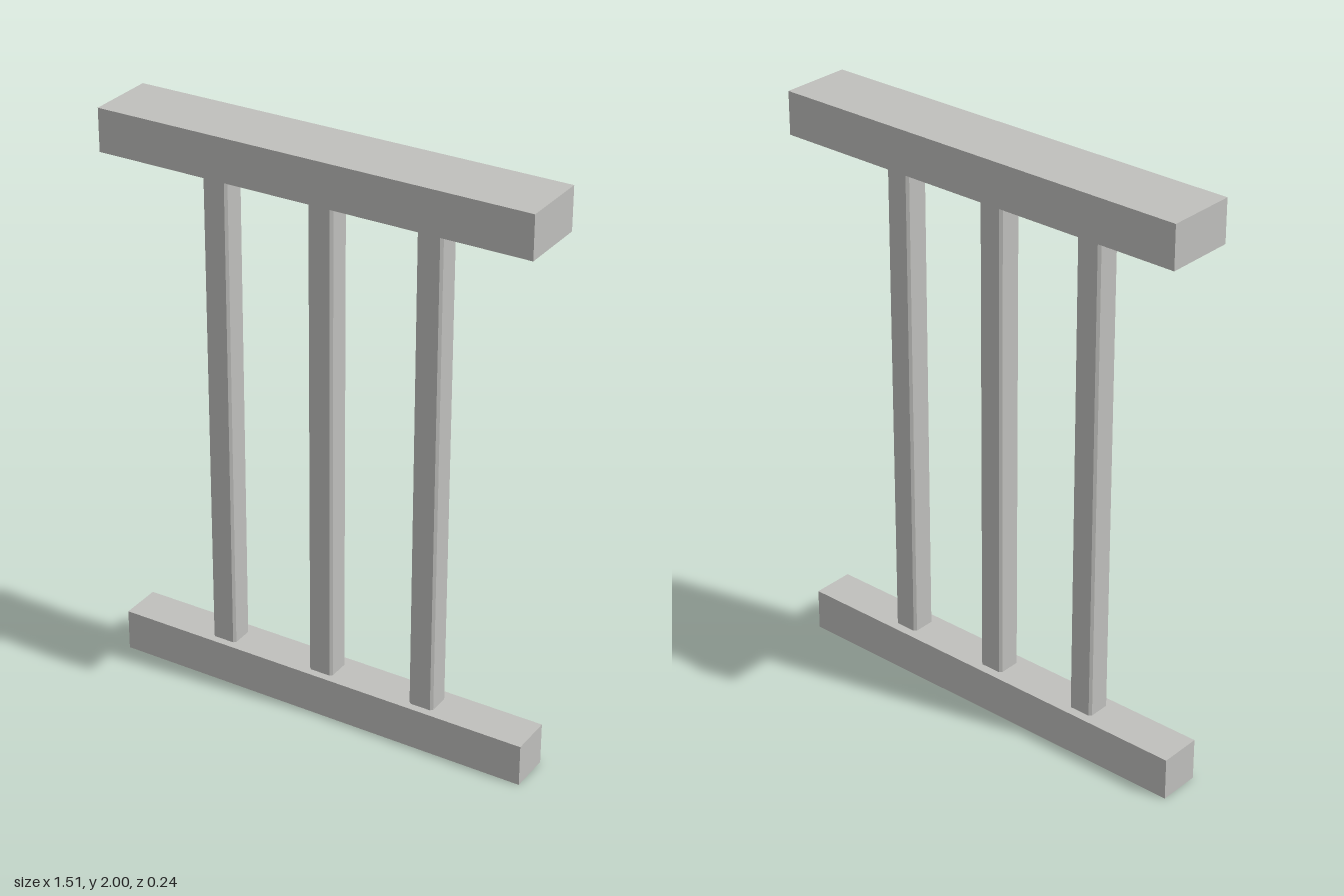
import * as THREE from 'three';

export function createModel() {
  const group = new THREE.Group();
  const grey = new THREE.MeshStandardMaterial({ color: 0xbfbfbc });
  grey.name = 'paleGrey';

  const add = (name, geometry, x, y, z) => {
    const mesh = new THREE.Mesh(geometry, grey);
    mesh.name = name;
    mesh.position.set(x, y, z);
    group.add(mesh);
  };

  // Horizontal rails: the handrail is deeper than the base
  const length = 1.512, height = 0.146;
  add('bottomRail', new THREE.BoxGeometry(length, height, 0.146), 0, height / 2, 0);
  add('topRail', new THREE.BoxGeometry(length, height, 0.24), 0, 2 - height / 2, 0);

  // Square balusters with narrow chamfered corners
  const h = 0.044, c = h - 0.008;
  const section = new THREE.Shape([
    [c, -h], [h, -c], [h, c], [c, h], [-c, h], [-h, c], [-h, -c], [-c, -h],
  ].map(([x, y]) => new THREE.Vector2(x, y)));
  const post = new THREE.ExtrudeGeometry(section, { depth: 2 - 2 * height, bevelEnabled: false });
  post.rotateX(-Math.PI / 2);
  ['rightBaluster', 'middleBaluster', 'leftBaluster'].forEach((name, i) => {
    add(name, post, -0.003 + (i - 1) * 0.379, height, 0.002);
  });

  return group;
}
